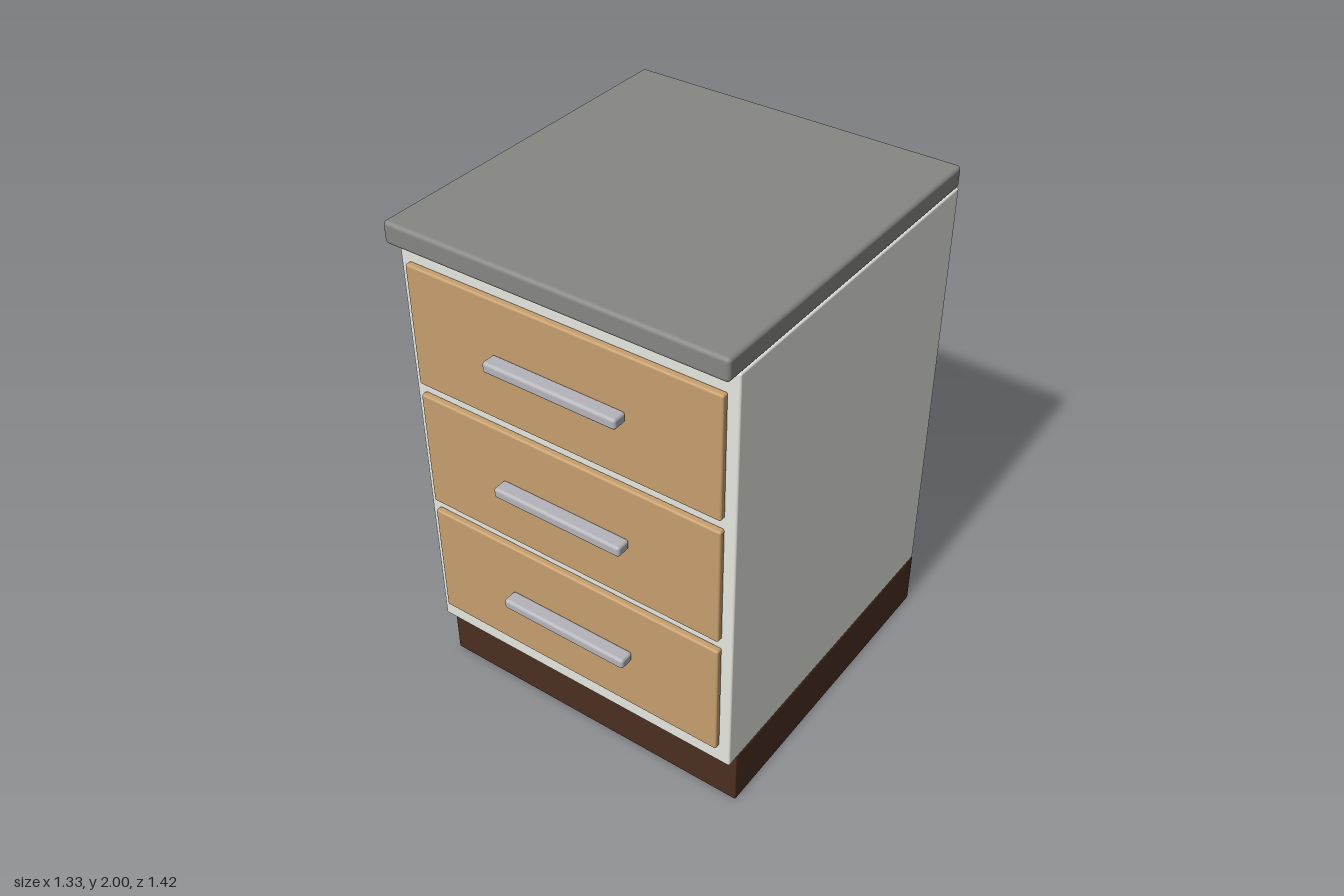
import * as THREE from 'three';
import { RoundedBoxGeometry } from 'three/addons/geometries/RoundedBoxGeometry.js';

const paint = (color) => new THREE.MeshStandardMaterial({ color });

// Softly rounded box centred on x, given by its width and its y and z limits
function block(name, width, [y0, y1], [z0, z1], radius, material) {
  const geometry = new RoundedBoxGeometry(width, y1 - y0, z1 - z0, 3, radius);
  const mesh = new THREE.Mesh(geometry, material);
  mesh.name = name;
  mesh.position.set(0, (y0 + y1) / 2, (z0 + z1) / 2);
  return mesh;
}

export function createModel() {
  const model = new THREE.Group();
  model.name = 'drawerCabinet';

  const white = paint(0xe6e7e0);
  const wood = paint(0xc69f6e);
  const stone = paint(0x868683);
  const brown = paint(0x4b2e20);
  const metal = paint(0xb4b4ba);

  const width = 1.326;
  const back = -0.71;

  // Recessed plinth, carcass and overhanging worktop share a flush back
  model.add(block('plinth', width, [0, 0.226], [back, 0.578], 0.004, brown));
  model.add(block('carcass', width, [0.226, 1.916], [back, 0.625], 0.008, white));
  model.add(block('worktop', width, [1.916, 2], [back, 0.688], 0.015, stone));

  // Three equal drawers, each a front panel with a bar handle
  ['bottom', 'middle', 'top'].forEach((level, i) => {
    const y = 0.553 + i * 0.5225;
    const drawer = new THREE.Group();
    drawer.name = `${level}Drawer`;
    drawer.add(block('drawerFront', 1.244, [y - 0.239, y + 0.239], [0.624, 0.652], 0.008, wood));
    drawer.add(block('handle', 0.534, [y - 0.012 + 0.0, y + 0.03], [0.65, 0.71], 0.012, metal));
    model.add(drawer);
  });

  return model;
}
